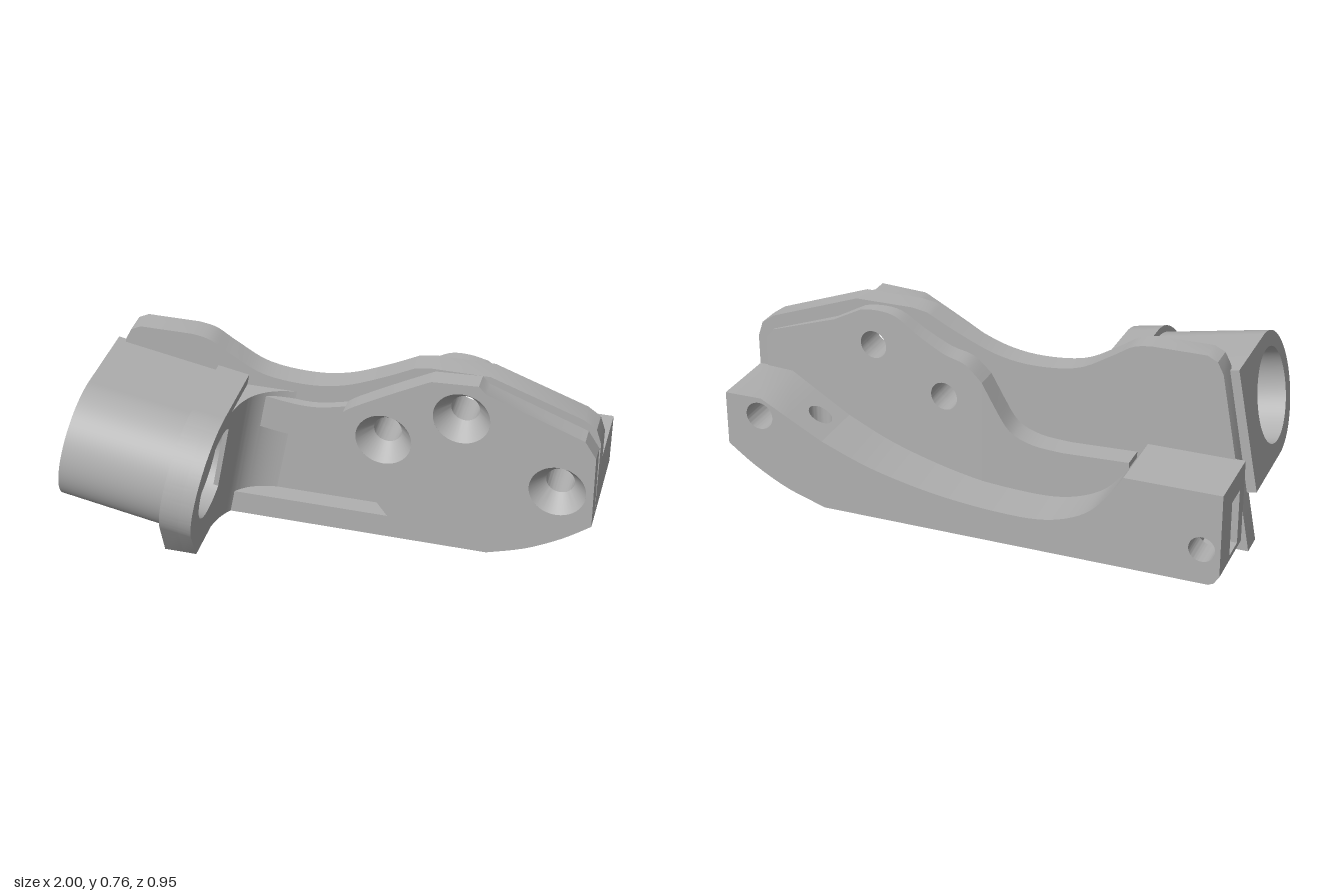
import * as THREE from 'three';
import { toCreasedNormals } from 'three/addons/utils/BufferGeometryUtils.js';

const steel = new THREE.MeshStandardMaterial({ color: 0xb0b0b0 });
steel.name = 'machined grey';
const TILT = 0.185; // lean of the barrel axis, radians

const BOLTS = [[0.18, 0.46], [0.48, 0.61], [0.86, 0.345]];
const vec = (p) => new THREE.Vector2(p[0], p[1]);

// smooth run of points through a few guides
const smooth = (pts, n = 20) => new THREE.SplineCurve(pts.map(vec)).getPoints(n).map((p) => [p.x, p.y]);

function circle(x, y, r) {
  return new THREE.Path().absarc(x, y, r, 0, Math.PI * 2, true);
}

function outline(pts, holes = []) {
  const s = new THREE.Shape(pts.map(vec));
  s.holes = holes.map(([x, y, r]) => circle(x, y, r));
  return s;
}

function extrude(shape, depth) {
  return new THREE.ExtrudeGeometry(shape, { depth, bevelEnabled: false, curveSegments: 32 });
}

// move each vertex by a rule
function bend(geo, rule) {
  const p = geo.attributes.position;
  const v = new THREE.Vector3();
  for (let i = 0; i < p.count; i++) {
    rule(v.fromBufferAttribute(p, i));
    p.setXYZ(i, v.x, v.y, v.z);
  }
  return geo;
}

export function createModel() {
  const group = new THREE.Group();
  const add = (name, geo, material = steel) => {
    const m = new THREE.Mesh(toCreasedNormals(geo, 0.5), material);
    m.name = name;
    group.add(m);
    return m;
  };
  // slab with an x-y outline between two depths
  const slab = (name, pts, z0, z1, holes = []) =>
    add(name, extrude(outline(pts, holes), z1 - z0).translate(0, 0, z0));
  const through = BOLTS.map(([x, y]) => [x, y, 0.055]);
  const wide = BOLTS.map(([x, y]) => [x, y, 0.11]);

  // curved underside at the right end
  const belly = smooth([[0.6, 0], [0.75, 0.05], [0.89, 0.125], [1, 0.205]], 12);

  // main plate with the saddle-shaped top
  const saddle = smooth([[0.28, 0.755], [0.15, 0.69], [0, 0.63], [-0.15, 0.61], [-0.32, 0.63], [-0.45, 0.7], [-0.53, 0.75], [-0.6, 0.765]], 32);
  slab('mainPlate', [[-1, 0], ...belly, [1, 0.54], [0.98, 0.6], [0.93, 0.635], [0.57, 0.765], [0.34, 0.765],
    ...saddle, [-0.81, 0.765], [-0.85, 0.745], [-0.873, 0.7]], -0.195, -0.1, through);

  // front pad with lower rail
  const padEdge = smooth([[0.02, 0.56], [0.06, 0.59], [0.2, 0.67], [0.34, 0.745]], 8);
  slab('frontPad', [[-0.46, 0], ...belly, [0.995, 0.52], [0.95, 0.59], [0.57, 0.735], [0.54, 0.765], [0.36, 0.755],
    ...padEdge.reverse(), [-0.02, 0.4], [0.2, 0.1], [-0.46, 0.1]], -0.1, -0.025, wide);

  // upper rail beside the pocket
  slab('upperRail', [[-0.42, 0.42], ...smooth([[-0.36, 0.415], [-0.2, 0.39], [-0.02, 0.4]], 10),
    [0.06, 0.4], [0.06, 0.58], ...smooth([[0.02, 0.56], [-0.1, 0.535], [-0.22, 0.54], [-0.36, 0.565]], 10), [-0.4, 0.57]], -0.1, -0.065);

  // countersinks
  const coneMat = steel.clone();
  coneMat.side = THREE.DoubleSide;
  for (const [x, y] of BOLTS) {
    const cone = new THREE.CylinderGeometry(0.11, 0.055, 0.075, 40, 1, true);
    add('countersink', cone.rotateX(Math.PI / 2).translate(x, y, -0.0625), coneMat);
  }

  // tapered boss on the back of the plate, split where its taper begins
  const taper = (v) => {
    if (v.z < -0.2) v.z = v.x > 0.02 ? -0.29 + (v.x - 0.02) * 0.095 : -0.29;
  };
  const bossParts = [
    [[[0.02, 0.1], [0.6, 0.1], [0.965, 0.26], [0.965, 0.54], [0.93, 0.58], [0.65, 0.68],
      ...smooth([[0.53, 0.745], [0.46, 0.755], [0.38, 0.745], [0.29, 0.69], [0.18, 0.635], [0.09, 0.61], [0.02, 0.55]], 24)], through],
    [[[0.02, 0.1], [0.02, 0.55], ...smooth([[-0.03, 0.46], [-0.09, 0.37], [-0.18, 0.33], [-0.3, 0.32]], 12), [-0.56, 0.33], [-0.56, 0.1]], []],
  ];
  for (const [pts, holes] of bossParts) {
    add('rearBoss', bend(extrude(outline(pts, holes), 0.12).translate(0, 0, -0.31), taper));
  }

  // rear shelf, scooped centre
  const Z0 = -0.475, Z1 = -0.19;
  slab('shelfCentre', [[-0.6, 0], [0.6, 0],
    ...smooth([[0.6, 0.285], [0.4, 0.21], [0.15, 0.155], [-0.1, 0.13], [-0.3, 0.135], [-0.45, 0.19], [-0.54, 0.28], [-0.6, 0.37]], 36)], Z0, Z1);
  // right end with a bolt hole
  slab('shelfRight', [[0.74, 0.046], ...belly.filter((p) => p[0] > 0.75), [1, 0.42], [0.85, 0.42], [0.74, 0.36]], Z0, Z1, [through[2]]);
  // section with the vertical drain hole
  const drain = extrude(outline([[0.6, -Z1], [0.74, -Z1], [0.74, -Z0], [0.6, -Z0]], [[0.67, 0.34, 0.044]]), 1).rotateX(-Math.PI / 2);
  add('shelfDrain', bend(drain, (v) => {
    const t = (v.x - 0.6) / 0.14;
    v.y = v.y > 0.5 ? 0.285 + 0.075 * t : 0.046 * t;
  }));
  // left end, with a cross hole and a slot in its end face
  const pin = [[-0.9, 0.14, 0.05]];
  const endBlock = [[-0.6, 0], [-0.6, 0.37], [-0.97, 0.37], [-0.97, 0.04], [-0.95, 0.01], [-0.93, 0]];
  const notched = [[-0.6, 0], [-0.6, 0.37], [-0.97, 0.37], [-0.97, 0.28], [-0.85, 0.28], [-0.85, 0.06], [-0.97, 0.06], [-0.97, 0.04], [-0.93, 0]];
  slab('shelfLeftOuter', endBlock, Z0, -0.35, pin);
  slab('shelfLeftSlot', notched, -0.35, -0.25);
  slab('shelfLeftInner', endBlock, -0.25, Z1, pin);

  // tilted barrel parts: profile runs across z, extruded along the barrel axis
  const axial = (name, shape, start, length, rule) => {
    const g = extrude(shape, length).translate(0, 0, start).rotateY(Math.PI / 2);
    g.rotateZ(-TILT).translate(-0.955, 0.45, 0.21);
    add(name, rule ? bend(g, rule) : g);
  };
  const barrel = new THREE.Shape();
  barrel.moveTo(0.33, 0.245).lineTo(0, 0.245);
  barrel.absarc(0, 0, 0.245, Math.PI / 2, Math.PI * 1.5, false);
  barrel.lineTo(0.33, -0.245);
  barrel.holes.push(circle(0, 0, 0.185));
  axial('barrel', barrel, 0, 0.414);

  // flange, trimmed level with the base
  const trim = (v) => {
    if (v.y > 0.06) return;
    v.x -= v.y * Math.tan(TILT);
    v.y = 0;
  };
  const flange = (bore) => {
    const s = new THREE.Shape();
    s.moveTo(0.33, 0.27).lineTo(0, 0.27);
    s.absarc(0, 0, 0.27, Math.PI / 2, Math.PI * 1.19, false);
    s.lineTo(-0.07, -0.36).lineTo(0.33, -0.36);
    s.holes.push(circle(0, 0, bore));
    return s;
  };
  axial('flangeInner', flange(0.12), 0.414, 0.075, trim);
  axial('flangeOuter', flange(0.18), 0.489, 0.051, trim);

  // sweeping fillet from flange to plate
  const fillet = new THREE.Shape();
  fillet.moveTo(-0.02, 0.11).lineTo(-0.02, -0.1).lineTo(0, -0.1);
  fillet.bezierCurveTo(0.015, 0.02, 0.07, 0.085, 0.2, 0.1);
  fillet.lineTo(0.2, 0.11);
  const filletGeo = extrude(fillet, 0.57).rotateX(-Math.PI / 2);
  add('flangeFillet', bend(filletGeo, (v) => { v.x += -0.49 + v.y * Math.tan(TILT); }));

  return group;
}
